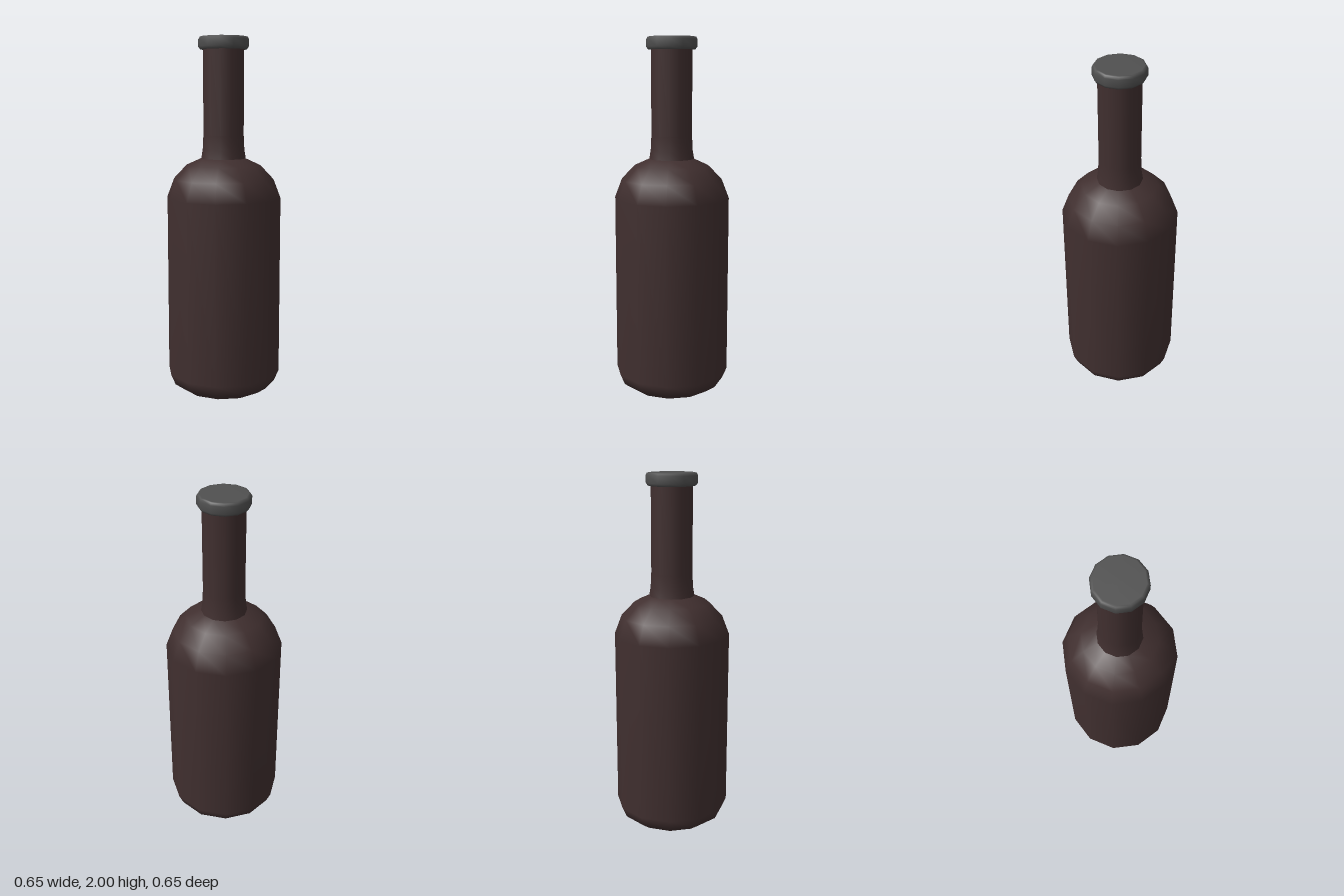
import * as THREE from 'three';

const SIDES = 12;

// Turned part from [radius, height] pairs listed from bottom to top
function turned(name, profile, material) {
  const points = profile.map(([r, y]) => new THREE.Vector2(r, y));
  const mesh = new THREE.Mesh(new THREE.LatheGeometry(points, SIDES), material);
  mesh.name = name;
  return mesh;
}

export function createModel() {
  const glass = new THREE.MeshStandardMaterial({ color: 0x402f2f });
  glass.name = 'dark brown glass';
  const metal = new THREE.MeshStandardMaterial({ color: 0x505050 });
  metal.name = 'grey cap';

  const model = new THREE.Group();
  model.name = 'bottle';

  // Body with chamfered base and rounded shoulder
  model.add(turned('body', [
    [0, 0], [0.24, 0], [0.297, 0.04], [0.323, 0.1],
    [0.323, 1.11], [0.283, 1.215], [0.21, 1.292], [0.126, 1.33],
  ], glass));

  // Neck, flared slightly where it meets the shoulder
  model.add(turned('neck', [
    [0.126, 1.33], [0.118, 1.38], [0.114, 1.46], [0.114, 1.94],
  ], glass));

  // Cap with softened rims
  model.add(turned('cap', [
    [0, 1.93], [0.13, 1.93], [0.141, 1.945], [0.141, 1.985],
    [0.134, 1.998], [0.125, 2], [0, 2],
  ], metal));

  return model;
}
